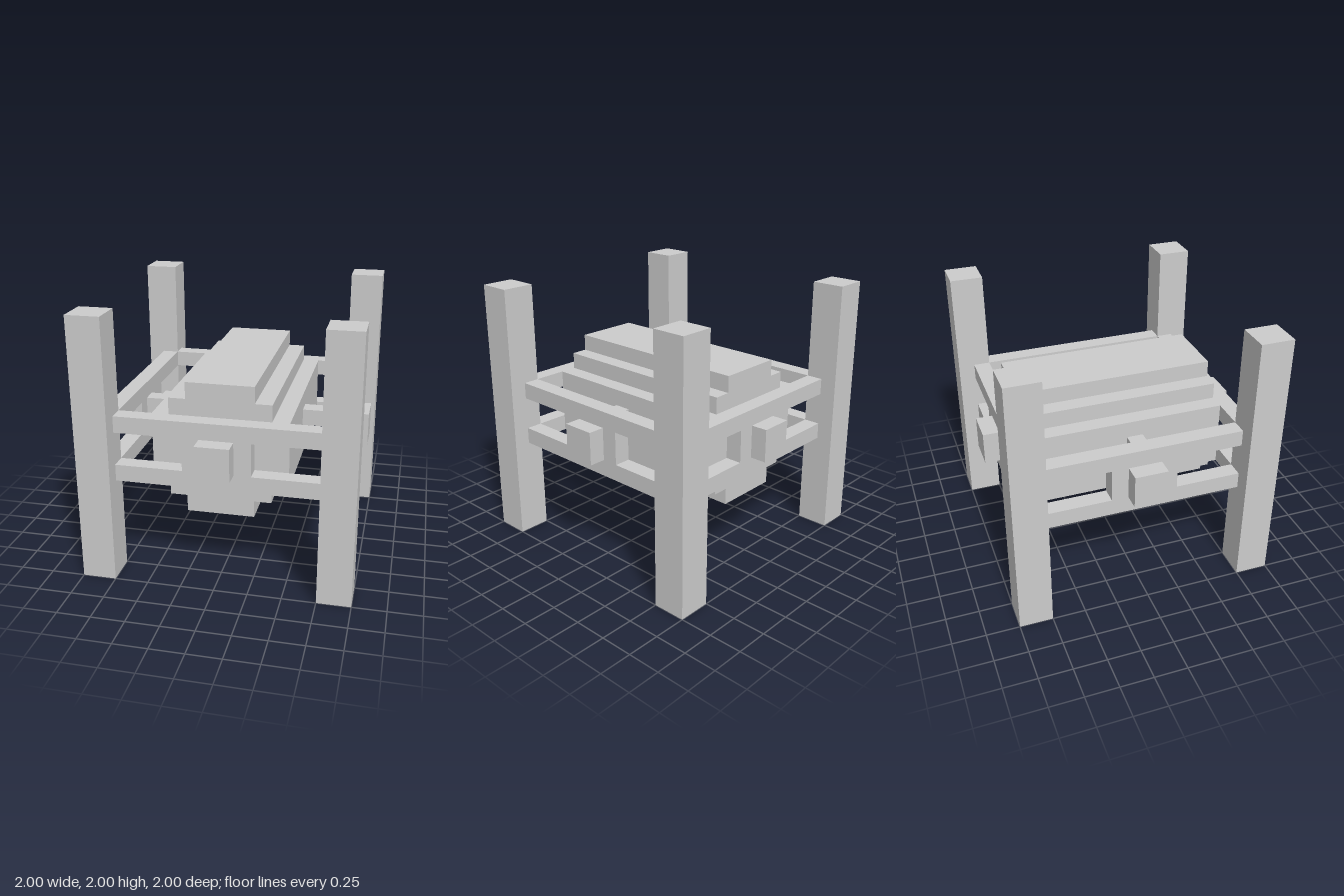
import * as THREE from 'three';

const material = new THREE.MeshStandardMaterial({ color: 0xcccccc, flatShading: true });

// Box given by its size and centre
function box(parent, name, size, centre) {
  const mesh = new THREE.Mesh(new THREE.BoxGeometry(...size), material);
  mesh.name = name;
  mesh.position.set(...centre);
  parent.add(mesh);
}

// Side frame facing +z: two rails, a middle panel and a protruding knob
function createFrame(name) {
  const frame = new THREE.Group();
  frame.name = name;
  box(frame, 'lowerRail', [1.5, 0.125, 0.125], [0, 0.8125, 0.8125]);
  box(frame, 'upperRail', [1.5, 0.125, 0.125], [0, 1.1875, 0.8125]);
  box(frame, 'middlePanel', [0.5, 0.25, 0.125], [0, 1, 0.8125]);
  box(frame, 'knob', [0.25, 0.25, 0.125], [0, 1, 0.9375]);
  return frame;
}

// Stepped core, one extruded outline running front to back
function createCore() {
  const quarter = [[0.5, 0.25], [0.375, 0.25], [0.375, 0.375], [0.25, 0.375], [0.25, 0.5]];
  const mirrored = [...quarter].reverse();
  const outline = [
    ...quarter,
    ...mirrored.map(([x, y]) => [-x, y]),
    ...quarter.map(([x, y]) => [-x, -y]),
    ...mirrored.map(([x, y]) => [x, -y]),
  ];
  const shape = new THREE.Shape(outline.map(([x, y]) => new THREE.Vector2(x, y)));
  const geometry = new THREE.ExtrudeGeometry(shape, { depth: 1.5, bevelEnabled: false });
  geometry.translate(0, 1, -0.75);
  const core = new THREE.Mesh(geometry, material);
  core.name = 'steppedCore';
  return core;
}

export function createModel() {
  const model = new THREE.Group();
  model.name = 'postFrame';

  // Corner posts
  for (const x of [-1, 1]) {
    for (const z of [-1, 1]) {
      box(model, 'cornerPost', [0.25, 2, 0.25], [x * 0.875, 1, z * 0.875]);
    }
  }

  // Four identical frames between the posts
  ['frontFrame', 'leftFrame', 'backFrame', 'rightFrame'].forEach((name, i) => {
    const frame = createFrame(name);
    frame.rotation.y = (i * Math.PI) / 2;
    model.add(frame);
  });

  model.add(createCore());

  // Short arms joining the core to the side frames
  for (const x of [-1, 1]) {
    box(model, 'sideArm', [0.25, 0.125, 0.125], [x * 0.625, 1.0625, 0.0625]);
  }

  return model;
}
